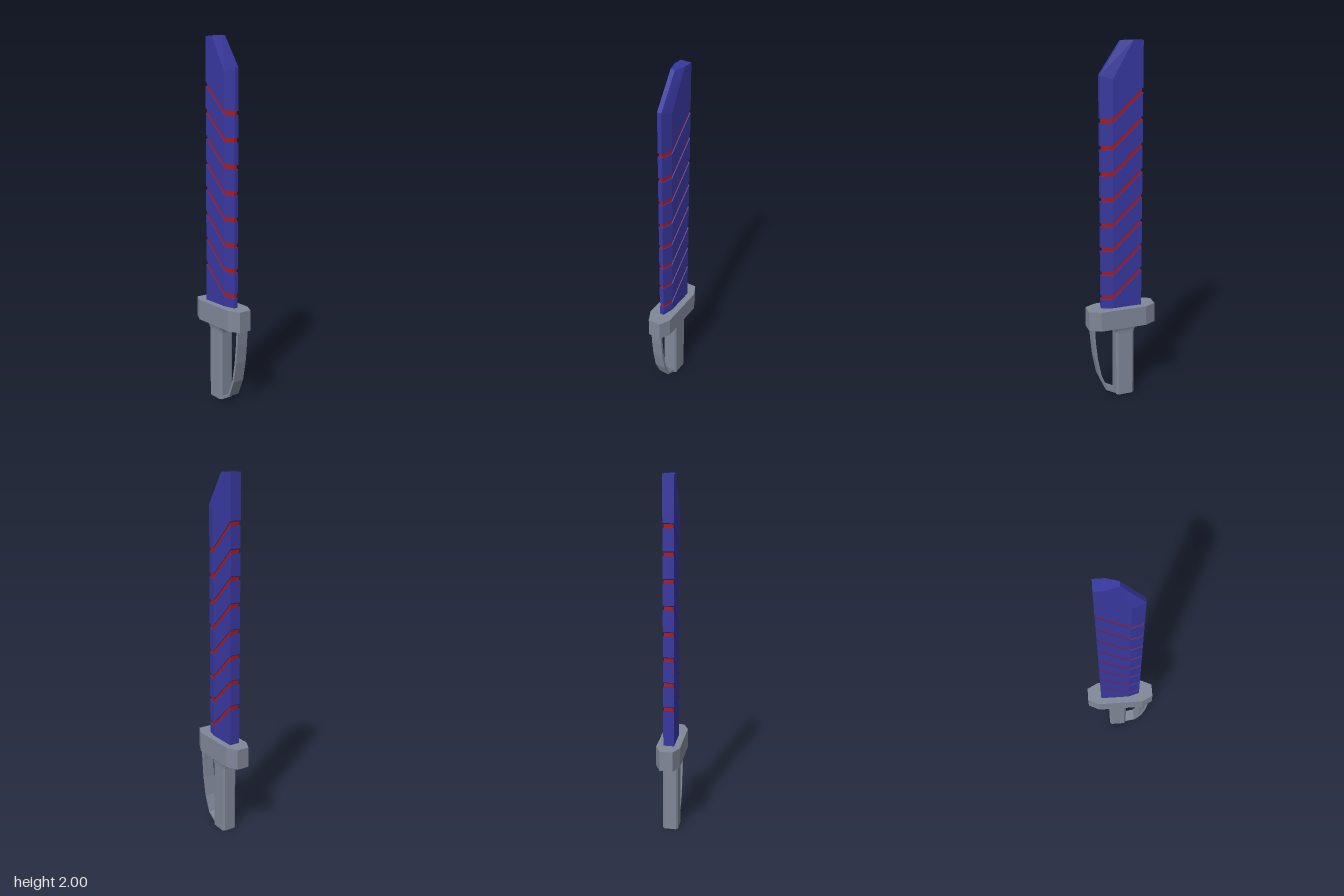
import * as THREE from 'three';

const blue = new THREE.MeshStandardMaterial({ color: 0x3838a0, flatShading: true });
const red = new THREE.MeshStandardMaterial({ color: 0xb01818, flatShading: true });
const steel = new THREE.MeshStandardMaterial({ color: 0x808798, flatShading: true });

// Skin a stack of loops (counter-clockwise seen from above) and cap both ends
function loft(loops) {
  const pos = [];
  const tri = (...p) => p.forEach(v => pos.push(...v));
  const n = loops[0].length;
  for (let k = 0; k + 1 < loops.length; k++) {
    const a = loops[k], b = loops[k + 1];
    for (let i = 0; i < n; i++) {
      const j = (i + 1) % n;
      tri(a[i], a[j], b[j]);
      tri(a[i], b[j], b[i]);
    }
  }
  const bottom = loops[0], top = loops[loops.length - 1];
  for (let i = 1; i + 1 < n; i++) {
    tri(bottom[0], bottom[i + 1], bottom[i]);
    tri(top[0], top[i], top[i + 1]);
  }
  const g = new THREE.BufferGeometry();
  g.setAttribute('position', new THREE.Float32BufferAttribute(pos, 3));
  g.computeVertexNormals();
  return g;
}

// Blade section from three [halfWidth, y, z] stations: bevel line, spine, cutting edge
function bladeLoop([bx, by, bz], [sx, sy, sz], [ex, ey, ez]) {
  return [[bx, by, bz], [sx, sy, sz], [-sx, sy, sz], [-bx, by, bz], [-ex, ey, ez], [ex, ey, ez]];
}
const section = (front, rear) =>
  bladeLoop([0.03, front, 0.05], [0.03, rear, -0.115], [0.012, front, 0.115]);
const coreSection = y =>
  bladeLoop([0.025, y, 0.05], [0.025, y, -0.109], [0.009, y, 0.107]);

// Rectangle with cut corners
function chamferLoop(y, hx, z0, z1, cx, cz) {
  return [
    [hx, y, z1 - cz], [hx, y, z0 + cz], [hx - cx, y, z0], [-hx + cx, y, z0],
    [-hx, y, z0 + cz], [-hx, y, z1 - cz], [-hx + cx, y, z1], [hx - cx, y, z1],
  ];
}

export function createModel() {
  const model = new THREE.Group();
  const add = (parent, name, geometry, material) => {
    const mesh = new THREE.Mesh(geometry, material);
    mesh.name = name;
    parent.add(mesh);
  };

  // Blade: blue segments parted by bent grooves over a red core
  const blade = new THREE.Group();
  blade.name = 'blade';
  model.add(blade);
  const grooves = 8, pitch = 0.1405;
  let start = section(0.55, 0.55);
  for (let i = 0; i < grooves; i++) {
    const y = 0.605 + i * pitch;
    add(blade, 'bladeSegment', loft([start, section(y, y + 0.152)]), blue);
    start = section(y + 0.023, y + 0.175);
  }
  add(blade, 'bladeTip', loft([
    start,
    bladeLoop([0.03, 1.81, 0.05], [0.03, 1.81, -0.115], [0.012, 1.83, 0.115]),
    bladeLoop([0.03, 2, -0.06], [0.03, 2, -0.115], [0.012, 2, 0]),
  ]), blue);
  add(blade, 'bladeCore', loft([coreSection(0.55), coreSection(1.78)]), red);

  // Crossguard
  add(model, 'crossguard', loft([0.435, 0.55].map(y =>
    chamferLoop(y, 0.067, -0.195, 0.195, 0.031, 0.063))), steel);

  // Grip, flaring in a fillet under the crossguard
  const gripLoops = [chamferLoop(0, 0.044, -0.07, 0.036, 0.011, 0.011)];
  for (let i = 0; i <= 5; i++) {
    const t = i / 5 * Math.PI / 2, f = 1 - Math.cos(t);
    gripLoops.push(chamferLoop(0.39 + 0.046 * Math.sin(t),
      0.044 + 0.015 * f, -0.07 - 0.055 * f, 0.036 + 0.055 * f, 0.011 + 0.01 * f, 0.011 + 0.015 * f));
  }
  add(model, 'grip', loft(gripLoops), steel);

  // Knuckle bow: bent strap from crossguard to the foot of the grip
  const outer = [[0.176, 0.44], [0.172, 0.36], [0.161, 0.25], [0.139, 0.135], [0.099, 0.04], [0.03, 0.002]];
  const inner = [[0.03, 0.018], [0.09, 0.052], [0.125, 0.14], [0.146, 0.25], [0.157, 0.36], [0.161, 0.44]];
  const strap = new THREE.Shape([...outer, ...inner].map(p => new THREE.Vector2(...p)));
  const bow = new THREE.ExtrudeGeometry(strap, { depth: 0.066, bevelEnabled: false });
  bow.translate(0, 0, -0.033);
  bow.rotateY(-Math.PI / 2);
  add(model, 'knuckleBow', bow, steel);

  return model;
}
